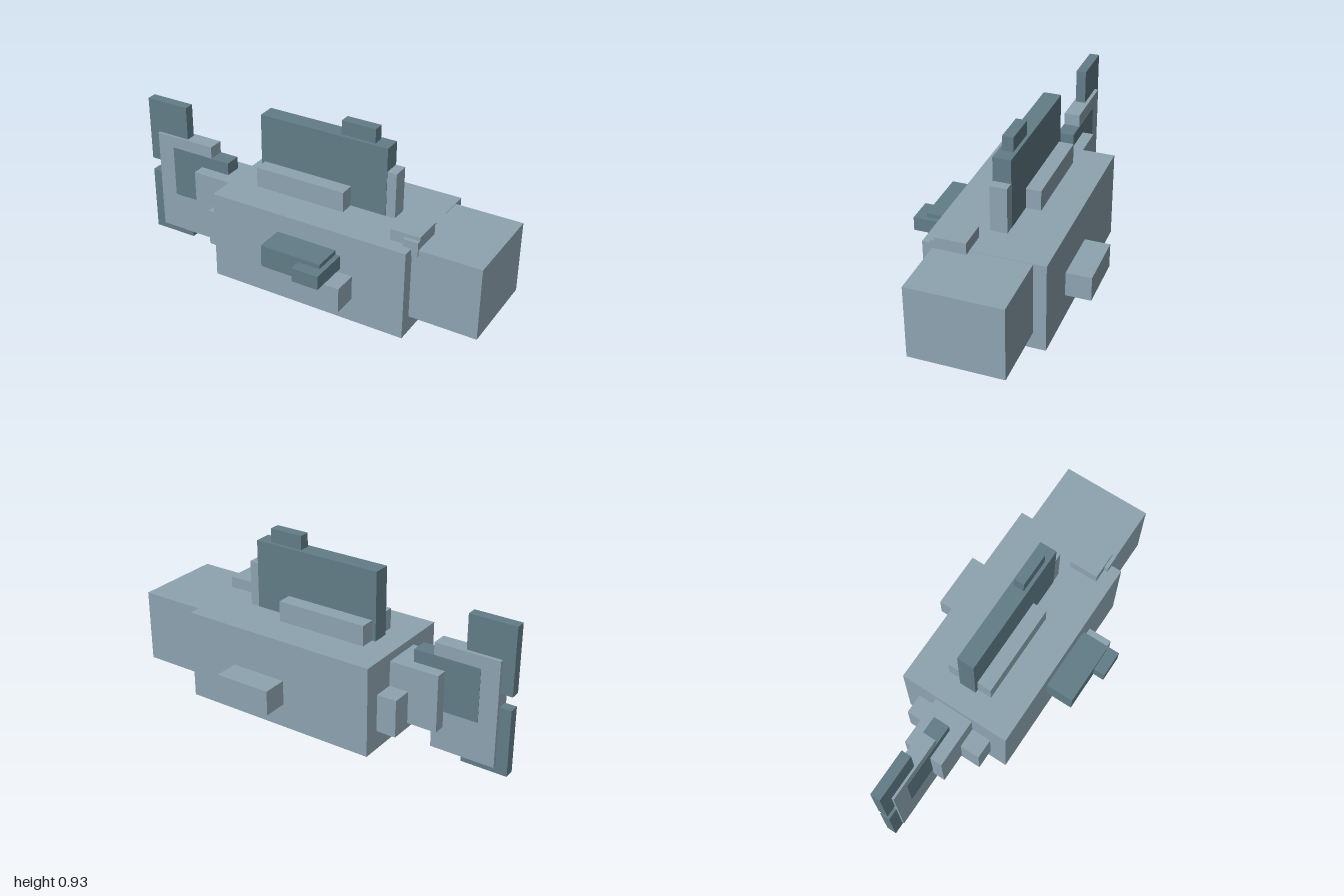
import * as THREE from 'three';

export function createModel() {
  const model = new THREE.Group();
  model.name = 'blockFish';

  const skin = new THREE.MeshStandardMaterial({ color: 0x8ea4b1 });
  skin.name = 'light blue grey';
  const fin = new THREE.MeshStandardMaterial({ color: 0x627d88 });
  fin.name = 'dark blue grey';

  // Adds a box given its [min, max] range on each axis.
  function block(name, material, [x0, x1], [y0, y1], [z0, z1]) {
    const mesh = new THREE.Mesh(new THREE.BoxGeometry(x1 - x0, y1 - y0, z1 - z0), material);
    mesh.position.set((x0 + x1) / 2, (y0 + y1) / 2, (z0 + z1) / 2);
    mesh.name = name;
    model.add(mesh);
  }

  // Body and head
  block('body', skin, [-0.405, 0.652], [0.035, 0.502], [-0.336, 0.26]);
  block('head', skin, [0.6, 1], [0.122, 0.5], [-0.273, 0.196]);
  block('brow', skin, [0.533, 0.685], [0.45, 0.56], [0.03, 0.184]);
  block('eye', skin, [0.61, 0.685], [0.465, 0.541], [0.13, 0.204]);

  // Dorsal fin
  block('dorsalBase', skin, [-0.263, 0.226], [0.48, 0.608], [-0.16, 0.083]);
  block('dorsalFin', fin, [-0.283, 0.416], [0.48, 0.86], [-0.083, 0.007]);
  block('dorsalFront', skin, [0.2, 0.465], [0.48, 0.738], [-0.081, 0.004]);
  block('dorsalTip', fin, [0.16, 0.341], [0.84, 0.933], [-0.066, -0.011]);

  // Side fins
  block('sideFinRoot', skin, [0.08, 0.38], [0.161, 0.29], [-0.465, 0.387]);
  block('sideFin', fin, [-0.032, 0.29], [0.29, 0.405], [0.2, 0.406]);
  block('sideFinTip', fin, [0.175, 0.315], [0.31, 0.382], [0.2, 0.466]);

  // Tail stem
  block('tailStemLower', skin, [-0.508, -0.38], [0.135, 0.33], [-0.253, 0.17]);
  block('tailStem', skin, [-0.664, -0.38], [0.162, 0.46], [-0.146, 0.065]);

  // Tail fin
  block('tailFin', skin, [-0.94, -0.602], [0.037, 0.59], [-0.084, -0.001]);
  block('tailPanel', fin, [-0.845, -0.498], [0.247, 0.526], [-0.086, 0.001]);
  block('tailLobeUpper', fin, [-1, -0.758], [0.42, 0.77], [-0.065, -0.013]);
  block('tailLobeLower', fin, [-1, -0.758], [0, 0.35], [-0.065, -0.013]);

  return model;
}
